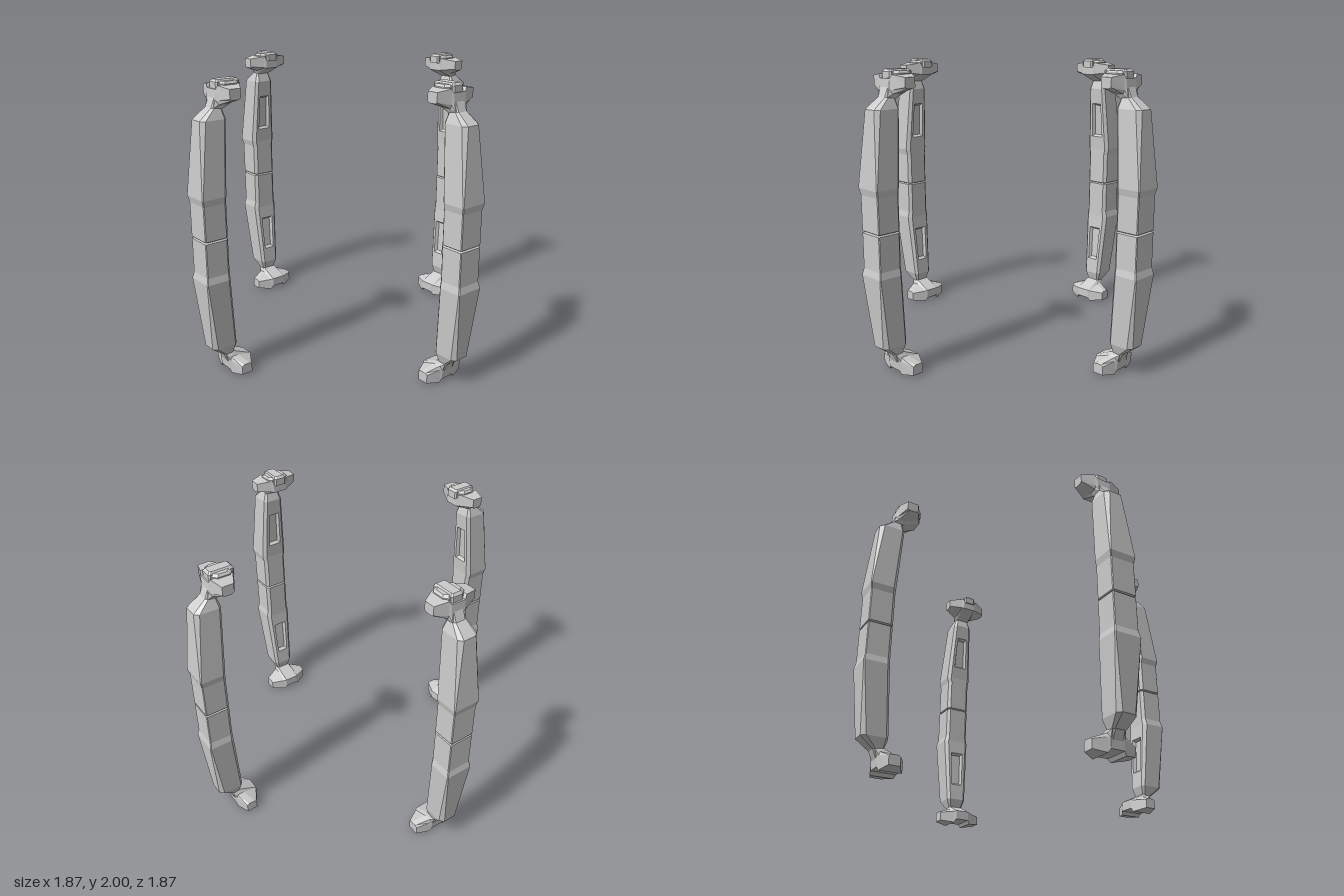
import * as THREE from 'three';

const MID = 0.985; // height of the seam between the two halves
const material = new THREE.MeshStandardMaterial({ color: 0xcccccc, flatShading: true });

// Skins a list of equal-length rings; rings run counter-clockwise seen from the last one.
function loft(rings, { capStart = true, skip = () => false } = {}) {
  const pos = [];
  const tri = (...pts) => pts.forEach((p) => pos.push(p[0], p[1] - MID, p[2]));
  const n = rings[0].length;
  for (let i = 0; i < rings.length - 1; i++) {
    for (let j = 0; j < n; j++) {
      if (skip(i, j)) continue;
      const k = (j + 1) % n;
      const [a, b, c, d] = [rings[i][j], rings[i][k], rings[i + 1][k], rings[i + 1][j]];
      tri(a, b, c);
      tri(a, c, d);
    }
  }
  const first = rings[0], last = rings[rings.length - 1];
  for (let j = 1; j < n - 1; j++) {
    if (capStart) tri(first[0], first[j + 1], first[j]);
    tri(last[0], last[j], last[j + 1]);
  }
  const g = new THREE.BufferGeometry();
  g.setAttribute('position', new THREE.Float32BufferAttribute(pos, 3));
  g.computeVertexNormals();
  return g;
}

// Chamfered rectangle at height y: outer and inner depth, half width, outer and inner chamfer.
function ring(y, out, inn, w, c, ci) {
  const right = [[w - c, y, out], [w, y, out - c], [w, y, inn + ci], [w - ci, y, inn]];
  const left = right.map(([x, h, z]) => [-x, h, z]).reverse();
  return [...right, ...left];
}

function named(name, geometry) {
  const mesh = new THREE.Mesh(geometry, material);
  mesh.name = name;
  return mesh;
}

// Tapered shaft, its inner face left open where the recessed panel goes
function shaftGeometry() {
  const rings = [
    ring(0.985, 1.208, 1.057, 0.078, 0.008, 0.018),
    ring(0.992, 1.22, 1.045, 0.09, 0.005, 0.021),
    ring(1.225, 1.22, 1.045, 0.09, 0.005, 0.021),
    ring(1.27, 1.23, 1.045, 0.1, 0.005, 0.024),
    ring(1.76, 1.19, 1.01, 0.074, 0.028, 0.019),
    ring(1.83, 1.1, 1.03, 0.05, 0.015, 0.01),
    ring(1.9, 1.07, 1.0, 0.05, 0.015, 0.01),
  ];
  return loft(rings, { skip: (i, j) => i === 3 && j === 3 });
}

// Inner face of the taper with a sunken panel
function panelGeometry() {
  const face = (y) => 1.045 - (0.035 * (y - 1.27)) / 0.49;
  const frame = (y0, w0, y1, w1, depth) => [
    [w0, y0, face(y0) + depth], [-w0, y0, face(y0) + depth],
    [-w1, y1, face(y1) + depth], [w1, y1, face(y1) + depth],
  ];
  return loft([
    frame(1.27, 0.076, 1.76, 0.055, 0),
    frame(1.37, 0.05, 1.64, 0.04, 0),
    frame(1.385, 0.037, 1.625, 0.03, 0.025),
  ], { capStart: false });
}

// Two-winged bracket, lofted sideways from wing tip to wing tip
function bracketGeometry() {
  const tip = [[1.955, 0.958], [1.955, 1.036], [1.895, 1.036], [1.885, 1.02], [1.885, 0.975], [1.895, 0.958]];
  const shoulder = [[1.97, 0.91], [1.97, 1.063], [1.875, 1.067], [1.85, 1.06], [1.85, 1.01], [1.885, 0.91]];
  const core = [[1.945, 0.9], [1.945, 1.07], [1.88, 1.075], [1.83, 1.09], [1.82, 1.03], [1.88, 0.9]];
  const stations = [[-0.159, tip], [-0.065, shoulder], [-0.05, core], [0.05, core], [0.065, shoulder], [0.159, tip]];
  return loft(stations.map(([x, pts]) => pts.map(([y, z]) => [x, y, z])));
}

// Chamfered block with a bevelled top
const block = (y0, y1, y2, out, inn, w, c) => loft([
  ring(y0, out, inn, w, c, c),
  ring(y1, out, inn, w, c, c),
  ring(y2, out - 0.015, inn + 0.015, w - 0.012, c, c),
]);

const shaft = shaftGeometry();
const panel = panelGeometry();
const bracket = bracketGeometry();
const capSides = block(1.935, 1.975, 1.99, 1.045, 0.91, 0.08, 0.025);
const capRidge = block(1.935, 1.985, 2.0, 1.06, 0.888, 0.045, 0.01);

function half(name) {
  const g = new THREE.Group();
  g.name = name;
  g.position.y = MID;
  g.add(named('shaft', shaft), named('recessedPanel', panel), named('bracket', bracket));
  return g;
}

export function createModel() {
  const model = new THREE.Group();
  model.name = 'cornerPosts';
  // Four identical posts facing outward along the diagonals
  for (let k = 0; k < 4; k++) {
    const post = new THREE.Group();
    post.name = 'cornerPost';
    post.rotation.y = Math.PI / 4 + (k * Math.PI) / 2;
    const upper = half('upperHalf');
    upper.add(named('capSides', capSides), named('capRidge', capRidge));
    // The lower half is the upper one turned upside down, without the cap
    const lower = half('lowerHalf');
    lower.rotation.z = Math.PI;
    post.add(upper, lower);
    model.add(post);
  }
  return model;
}
